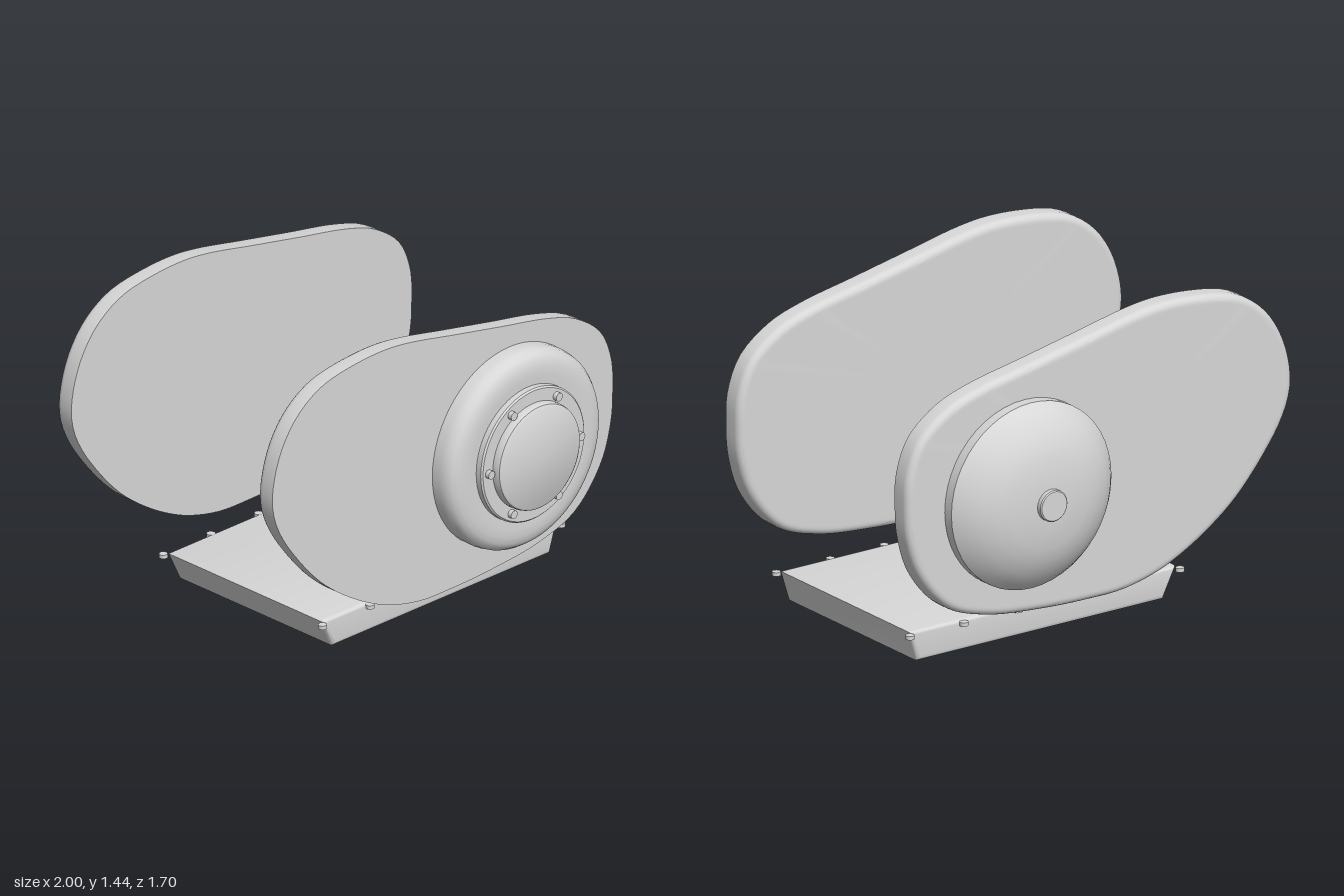
import * as THREE from 'three';
import { toCreasedNormals } from 'three/addons/utils/BufferGeometryUtils.js';

const castMetal = new THREE.MeshStandardMaterial({ color: 0xd7d7d7 });
const HUB = { x: 0.393, y: 0.752 };

// Side cover outline, clockwise from the left tip
const OUTLINE = [
  [-1, 0.955], [-0.985, 1.065], [-0.943, 1.18], [-0.875, 1.28], [-0.79, 1.352], [-0.69, 1.4],
  [-0.52, 1.43], [-0.34, 1.438], [-0.2, 1.424], [0.07, 1.37], [0.34, 1.316], [0.62, 1.26],
  [0.78, 1.205], [0.93, 1.09], [0.993, 0.94], [1, 0.8], [0.99, 0.66], [0.93, 0.48],
  [0.78, 0.31], [0.57, 0.235], [0.3, 0.203], [0.06, 0.193], [-0.15, 0.2], [-0.39, 0.27],
  [-0.69, 0.46], [-0.9, 0.7], [-0.965, 0.81], [-0.99, 0.88],
];

function add(parent, name, geometry, x = 0, y = 0, z = 0) {
  const mesh = new THREE.Mesh(geometry, castMetal);
  mesh.name = name;
  mesh.position.set(x, y, z);
  parent.add(mesh);
  return mesh;
}

// Flat plate with a sharp front rim and a rounded back rim
function plateGeometry(thickness, radius) {
  const points = OUTLINE.map(([x, y]) => new THREE.Vector3(x, y, 0)).reverse();
  const curve = new THREE.CatmullRomCurve3(points, true);
  const n = 120, steps = 5;
  const rings = [[thickness, 0]];
  for (let k = 0; k <= steps; k++) {
    const a = (k / steps) * Math.PI / 2;
    rings.push([radius * (1 - Math.sin(a)), radius * (1 - Math.cos(a))]);
  }
  rings.push([0, radius + 0.01]);
  const pos = [], index = [];
  for (const [z, inset] of rings) {
    for (let i = 0; i < n; i++) {
      const p = curve.getPointAt(i / n), t = curve.getTangentAt(i / n);
      pos.push(p.x - t.y * inset, p.y + t.x * inset, z);
    }
  }
  const last = rings.length - 1, front = rings.length * n, back = front + 1;
  pos.push(0, 0.8, thickness, 0, 0.8, 0);
  for (let i = 0; i < n; i++) {
    const j = (i + 1) % n;
    for (let k = 0; k < last; k++) {
      const a = k * n + i, b = k * n + j;
      index.push(a, a + n, b, b, a + n, b + n);
    }
    index.push(front, i, j, back, last * n + j, last * n + i);
  }
  const g = new THREE.BufferGeometry();
  g.setAttribute('position', new THREE.Float32BufferAttribute(pos, 3));
  g.setIndex(index);
  return toCreasedNormals(g, 0.6);
}

// Turned part from [radius, height] pairs, pointing along +z (dir 1) or -z (dir -1)
function turned(profile, dir, segments = 64) {
  const g = new THREE.LatheGeometry(profile.map(([r, h]) => new THREE.Vector2(r, h)), segments);
  g.rotateX(dir * Math.PI / 2);
  return toCreasedNormals(g, 0.6);
}

export function createModel() {
  const group = new THREE.Group();

  // Two matching side covers
  const plate = plateGeometry(0.093, 0.032);
  add(group, 'frontSideCover', plate, 0, 0, 0.569);
  add(group, 'rearSideCover', plate, 0, 0, -0.637);

  // Front round housing with stepped cap
  const housing = new THREE.Group();
  housing.name = 'frontHousing';
  housing.position.set(HUB.x, HUB.y, 0);
  group.add(housing);
  add(housing, 'housingRing', turned([
    [0.453, 0.65], [0.453, 0.705], [0.447, 0.735], [0.432, 0.757], [0.41, 0.769],
    [0.38, 0.775], [0.34, 0.776], [0.295, 0.772], [0, 0.772],
  ], 1));
  add(housing, 'capFlange', turned([[0.304, 0.76], [0.304, 0.8], [0.297, 0.807], [0, 0.807]], 1));
  add(housing, 'cap', turned([
    [0.24, 0.8], [0.24, 0.832], [0.236, 0.843], [0.226, 0.849], [0, 0.849],
  ], 1));
  const capBolt = new THREE.CylinderGeometry(0.019, 0.019, 0.03, 16).rotateX(Math.PI / 2);
  for (let i = 0; i < 6; i++) {
    const a = i * Math.PI / 3;
    add(housing, 'capBolt', capBolt, 0.265 * Math.cos(a), 0.265 * Math.sin(a), 0.812);
  }

  // Rear domed cover with centre boss
  const dome = new THREE.Group();
  dome.name = 'rearDome';
  dome.position.set(HUB.x, HUB.y, 0);
  group.add(dome);
  add(dome, 'domeCover', turned([
    [0.415, 0.625], [0.415, 0.685], [0.385, 0.72], [0.325, 0.766], [0.265, 0.794],
    [0.2, 0.814], [0.1, 0.824], [0, 0.827],
  ], -1, 48));
  add(dome, 'domeBoss', turned([[0.07, 0.81], [0.07, 0.845], [0.065, 0.85], [0, 0.85]], -1, 32));

  // Oil pan: sloped ends, straight sides, softened edges
  const b = 0.02;
  const panShape = new THREE.Shape([
    [-0.448, 0.053], [0.802, 0.053], [0.836, 0.154], [-0.502, 0.154],
  ].map(([x, y]) => new THREE.Vector2(x, y)));
  const pan = new THREE.ExtrudeGeometry(panShape, {
    depth: 0.935 - 2 * b, bevelThickness: b, bevelSize: b, bevelSegments: 5,
  });
  add(group, 'oilPan', toCreasedNormals(pan, 0.6), 0, 0, -0.457 + b);

  // Pan bolts along both long edges
  const panBolt = new THREE.CylinderGeometry(0.019, 0.019, 0.017, 16);
  for (const z of [-0.467, 0.488]) {
    for (let i = 0; i < 6; i++) add(group, 'panBolt', panBolt, -0.535 + 0.28 * i, 0.156, z);
  }

  // Hexagonal drain plug
  const plug = new THREE.CylinderGeometry(0.043, 0.043, 0.04, 6).rotateY(Math.PI / 6);
  add(group, 'drainPlug', toCreasedNormals(plug, 0.6), 0.165, 0.02, 0.013);

  return group;
}
